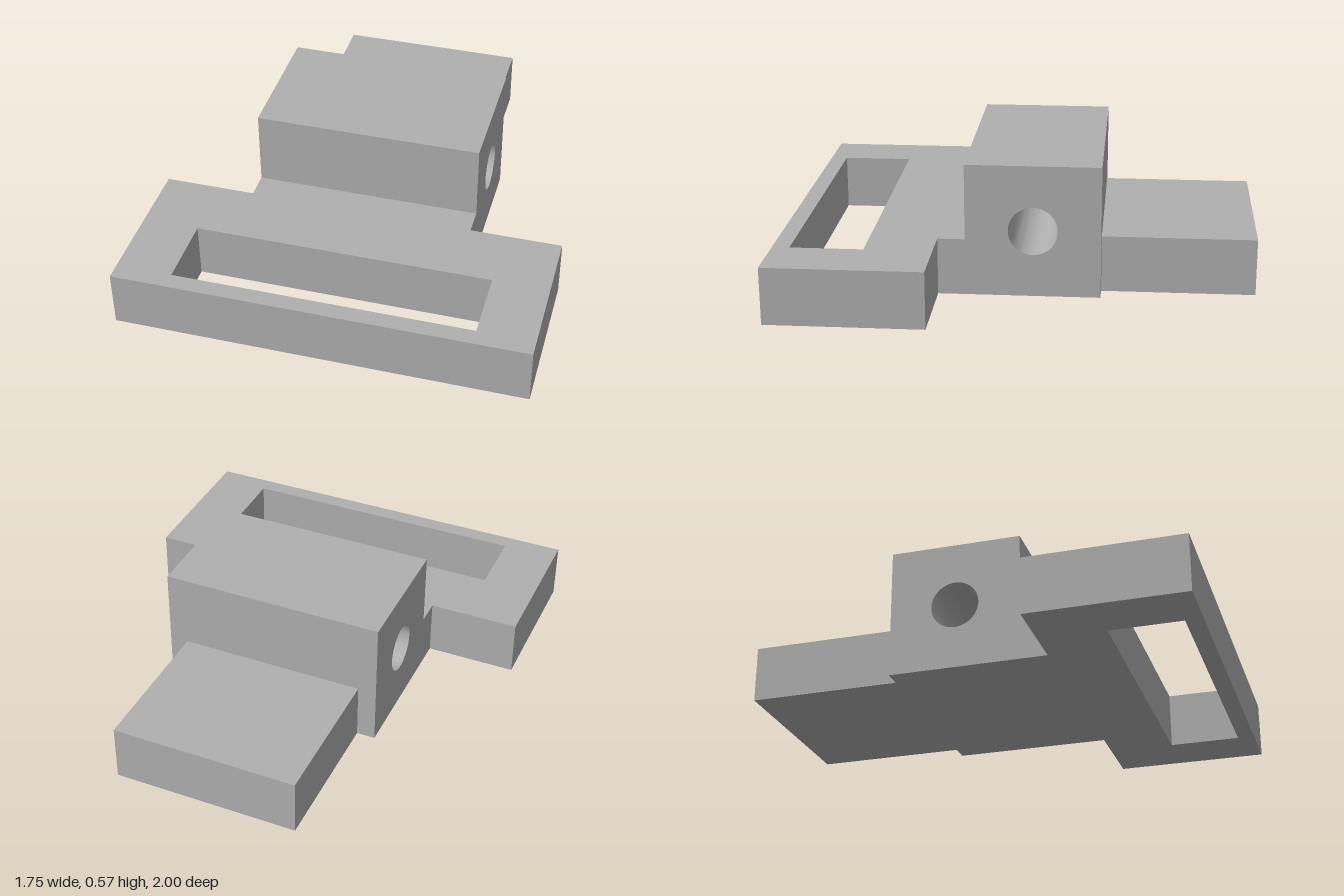
import * as THREE from 'three';
import { toCreasedNormals } from 'three/addons/utils/BufferGeometryUtils.js';

const rectPoints = (x0, x1, z0, z1) =>
  [[x0, z0], [x1, z0], [x1, z1], [x0, z1]];
const toVectors = (points) => points.map(([x, z]) => new THREE.Vector2(x, -z));

// Plan outline in x and z, raised from y0 to y1, with optional cut-outs
function plate(points, holes, y0, y1) {
  const shape = new THREE.Shape(toVectors(points));
  for (const hole of holes) shape.holes.push(new THREE.Path(toVectors(hole)));
  const geometry = new THREE.ExtrudeGeometry(shape, { depth: y1 - y0, bevelEnabled: false });
  return geometry.rotateX(-Math.PI / 2).translate(0, y0, 0);
}

export function createModel() {
  const model = new THREE.Group();
  const gray = new THREE.MeshStandardMaterial({ color: 0xb0b0b0 });
  gray.name = 'plainGray';
  const add = (name, geometry, parent = model) => {
    const mesh = new THREE.Mesh(geometry, gray);
    mesh.name = name;
    parent.add(mesh);
  };

  const baseHeight = 0.245, blockHeight = 0.57;
  const blockHalf = 0.485, barHalf = 0.877, tabHalf = 0.405;
  const blockFront = 0.22, blockBack = -0.35, barBack = 0.335;

  // Front crossbar and its neck, with the long slot cut through
  add('slottedCrossbar', plate([
    [-barHalf, 1], [barHalf, 1], [barHalf, barBack], [blockHalf, barBack],
    [blockHalf, blockFront], [-blockHalf, blockFront],
    [-blockHalf, barBack], [-barHalf, barBack],
  ], [rectPoints(-0.637, 0.637, 0.62, 0.927)], 0, baseHeight));

  // Tall block with a round bore from side to side
  const side = new THREE.Shape(
    [[-blockFront, 0], [-blockBack, 0], [-blockBack, blockHeight], [-blockFront, blockHeight]]
      .map(([x, y]) => new THREE.Vector2(x, y)));
  side.holes.push(new THREE.Path().absarc(0.065, 0.287, 0.104, 0, Math.PI * 2, true));
  const block = new THREE.ExtrudeGeometry(side,
    { depth: blockHalf * 2, bevelEnabled: false, curveSegments: 32 });
  block.rotateY(Math.PI / 2).translate(-blockHalf, 0, 0);
  add('boredBlock', toCreasedNormals(block, Math.PI / 6));

  // Rear tab: a solid top over a thin layer with two square pockets
  const tab = new THREE.Group();
  tab.name = 'rearTab';
  model.add(tab);
  const outline = rectPoints(-tabHalf, tabHalf, -1, blockBack);
  const pocketDepth = 0.05;
  const pockets = [-0.12, 0.12].map((x) => rectPoints(x - 0.056, x + 0.056, -0.79, -0.65));
  add('tabTop', plate(outline, [], pocketDepth, baseHeight), tab);
  add('tabUndersideWithPockets', plate(outline, pockets, 0, pocketDepth), tab);

  return model;
}
